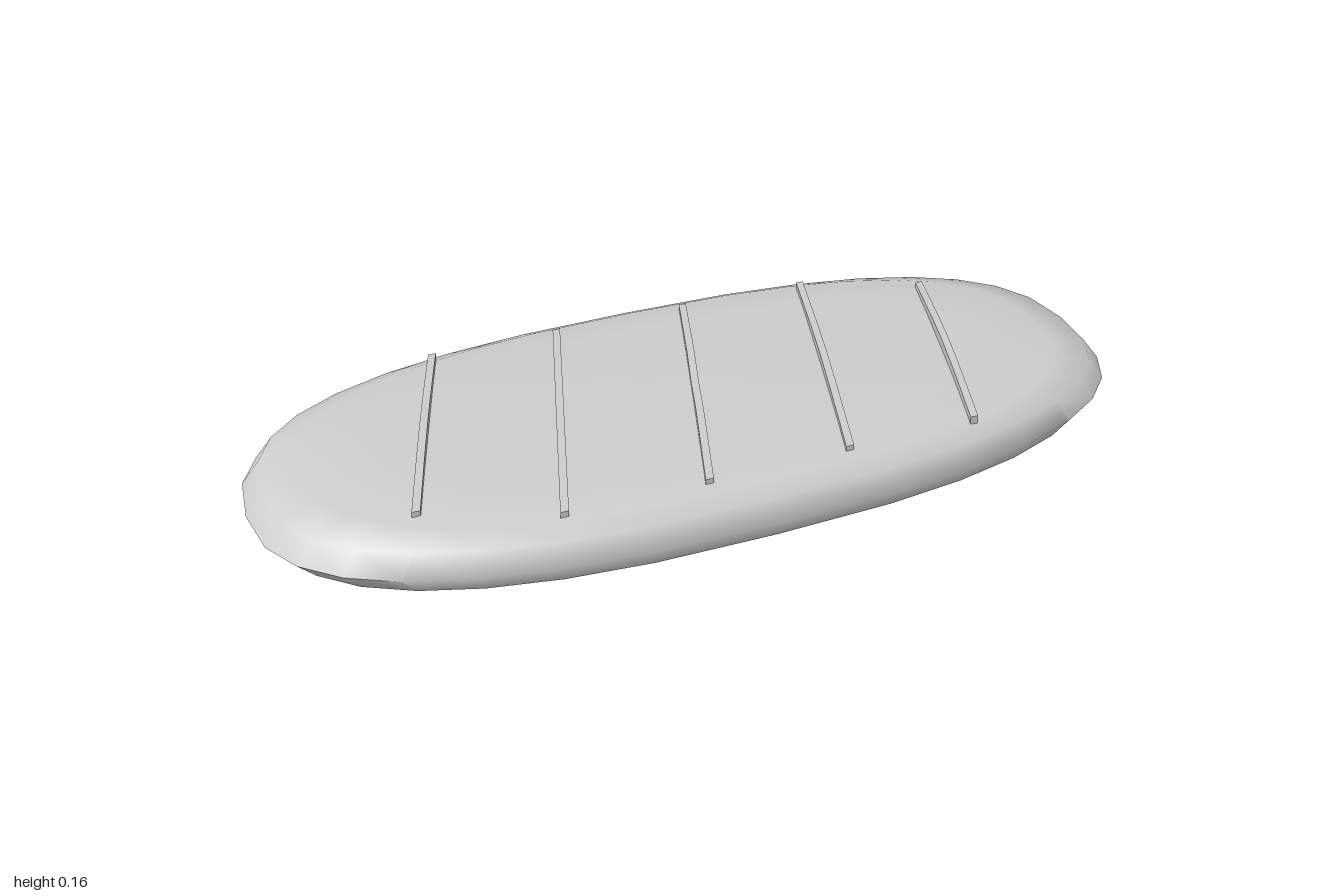
import * as THREE from 'three';
import { toCreasedNormals } from 'three/addons/utils/BufferGeometryUtils.js';

const CREASE = THREE.MathUtils.degToRad(60);

// Flattened oval body: a lathe whose circle is remapped to a superellipse
function bodyGeometry() {
  const profile = [[0, 0], [0.85, 0], [0.96, 0.02], [1, 0.06], [0.96, 0.11],
    [0.87, 0.13], [0.65, 0.138], [0.3, 0.142], [0, 0.143]]
    .map(([r, y]) => new THREE.Vector2(r, y));
  const geo = new THREE.LatheGeometry(profile, 32);
  const pos = geo.attributes.position;
  const round = (v) => (Math.abs(v) < 1e-6 ? 0 : Math.sign(v) * Math.pow(Math.abs(v), 0.785));
  for (let i = 0; i < pos.count; i++) {
    const x = pos.getX(i), z = pos.getZ(i), r = Math.hypot(x, z);
    if (r < 1e-6) pos.setXYZ(i, 0, pos.getY(i), 0);
    else pos.setXYZ(i, r * round(x / r), pos.getY(i), 0.45 * r * round(z / r));
  }
  return toCreasedNormals(geo, CREASE);
}

// Raised strip along a slanted line; its top follows the listed heights
function ridgeGeometry(x0, z0, x1, z1, heights) {
  const n = heights.length - 1;
  const geo = new THREE.BoxGeometry(0.018, 1, 1, 1, 1, n);
  const pos = geo.attributes.position;
  for (let i = 0; i < pos.count; i++) {
    const t = pos.getZ(i) + 0.5;
    const y = pos.getY(i) > 0 ? heights[Math.round(t * n)] : 0.12;
    pos.setXYZ(i, pos.getX(i) + x0 + (x1 - x0) * t, y, z0 + (z1 - z0) * t);
  }
  return toCreasedNormals(geo, THREE.MathUtils.degToRad(35));
}

export function createModel() {
  const model = new THREE.Group();
  model.name = 'loaf';
  const grey = new THREE.MeshStandardMaterial({ color: 0xcccccc });
  grey.name = 'light grey';

  const add = (name, geo) => {
    const mesh = new THREE.Mesh(geo, grey);
    mesh.name = name;
    model.add(mesh);
  };

  add('body', bodyGeometry());

  // Five slanted ridges across the top
  const arch = [0.144, 0.151, 0.157, 0.16, 0.157, 0.151, 0.144];
  const dipped = [0.144, 0.152, 0.159, 0.15, 0.159, 0.152, 0.144];
  [
    [-0.5, -0.36, -0.7, 0.24, arch],
    [-0.2, -0.36, -0.43, 0.355, arch],
    [0.12, -0.36, -0.12, 0.36, dipped],
    [0.43, -0.355, 0.2, 0.36, arch],
    [0.7, -0.24, 0.5, 0.36, arch],
  ].forEach((r, i) => add('ridge' + (i + 1), ridgeGeometry(...r)));

  return model;
}
